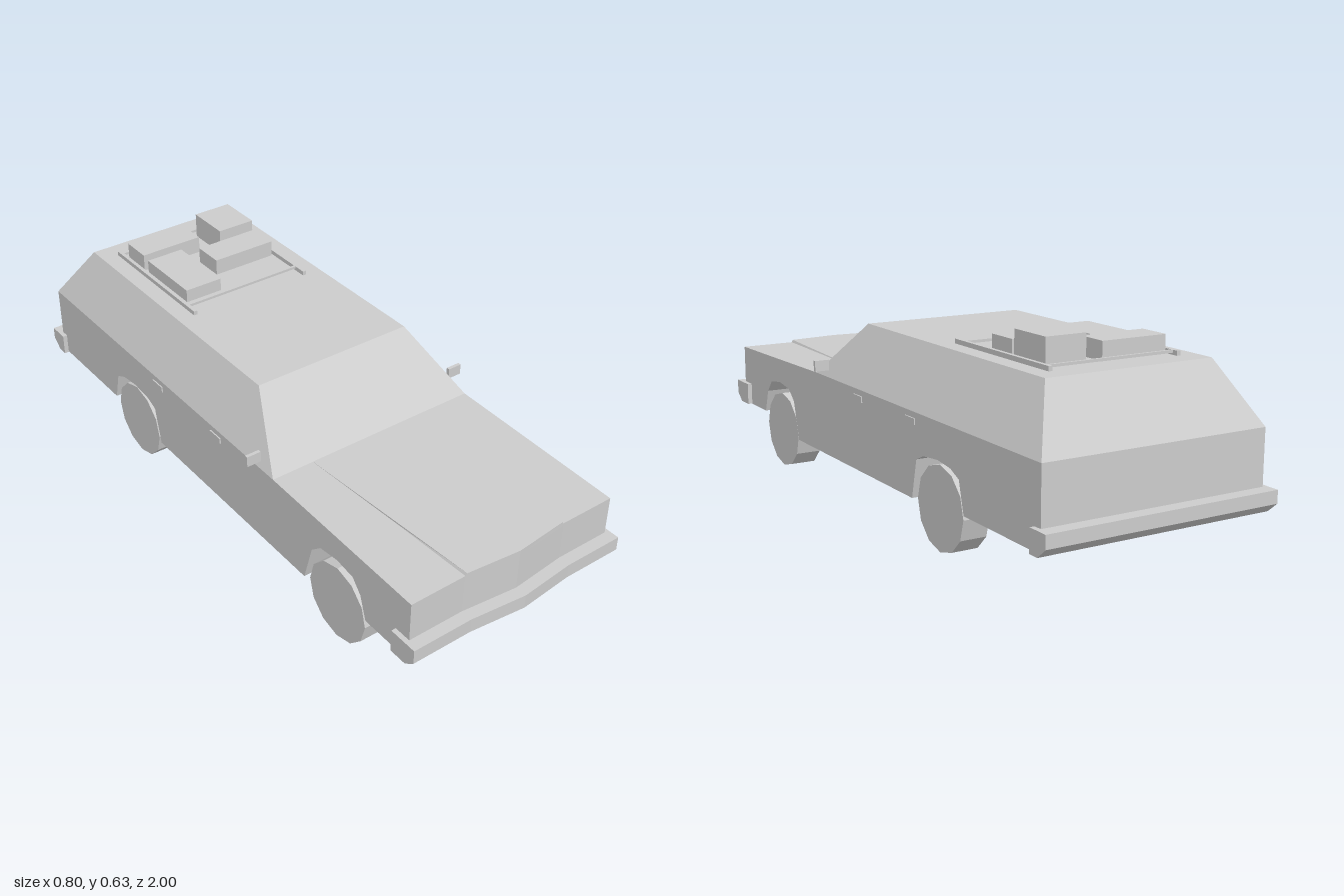
import * as THREE from 'three';

const material = new THREE.MeshStandardMaterial({ color: 0xcccccc, flatShading: true });

function add(parent, name, geometry) {
  const mesh = new THREE.Mesh(geometry, material);
  mesh.name = name;
  parent.add(mesh);
  return mesh;
}

// Box given by its min and max on each axis
function box(parent, name, [x0, x1], [y0, y1], [z0, z1]) {
  const geometry = new THREE.BoxGeometry(x1 - x0, y1 - y0, z1 - z0);
  geometry.translate((x0 + x1) / 2, (y0 + y1) / 2, (z0 + z1) / 2);
  return add(parent, name, geometry);
}

// Move every vertex by a rule
function reshape(geometry, rule) {
  const p = geometry.attributes.position;
  const v = new THREE.Vector3();
  for (let i = 0; i < p.count; i++) {
    v.fromBufferAttribute(p, i);
    rule(v);
    p.setXYZ(i, v.x, v.y, v.z);
  }
  geometry.computeVertexNormals();
  return geometry;
}

// Shallow V of the nose, added to the front face
const nose = (x) => 0.018 * Math.max(0, 1 - Math.abs(x) / 0.18);

// Side profile of [z, y] points, extruded across x
function slab(points, x0, x1, steps = 1) {
  const shape = new THREE.Shape(points.map(([z, y]) => new THREE.Vector2(z, y)));
  const geometry = new THREE.ExtrudeGeometry(shape, { depth: x1 - x0, steps, bevelEnabled: false });
  geometry.rotateY(-Math.PI / 2).translate(x1, 0, 0);
  return reshape(geometry, (v) => { if (v.z > 0.93) v.z += nose(v.x); });
}

const frontArch = [[0.48, 0.12], [0.515, 0.245], [0.555, 0.28], [0.63, 0.29], [0.7, 0.28], [0.735, 0.24], [0.76, 0.165]];
const rearArch = [[-0.59, 0.143], [-0.565, 0.238], [-0.52, 0.258], [-0.45, 0.266], [-0.37, 0.258], [-0.33, 0.24], [-0.303, 0.12]];
const upperBody = [[0.94, 0.165], [0.94, 0.363], [0.33, 0.375], [-0.957, 0.375], [-0.957, 0.143]];

export function createModel() {
  const car = new THREE.Group();
  car.name = 'stationWagon';

  // Lower body: a full centre and two flanks with wheel arches
  const ends = (arch) => [arch[0], arch[arch.length - 1]];
  const centre = [...upperBody, ...ends(rearArch), ...ends(frontArch)];
  const flank = [...upperBody, ...rearArch, ...frontArch];
  add(car, 'bodyCentre', slab(centre, -0.21, 0.21, 14));
  add(car, 'leftFlank', slab(flank, 0.21, 0.36));
  add(car, 'rightFlank', slab(flank, -0.36, -0.21));

  // Raised bonnet panel, tapering to the nose
  add(car, 'bonnet', reshape(new THREE.BoxGeometry(2, 1, 1, 2, 1, 1), (v) => {
    const front = v.z > 0;
    const top = v.y > 0;
    v.x *= front ? (top ? 0.173 : 0.182) : 0.22;
    v.y = front ? (top ? 0.371 : 0.355) : (top ? 0.3755 : 0.365);
    v.z = front ? 0.9405 + nose(v.x) : 0.33;
  }));

  // Cabin with sloping sides, windscreen and tailgate
  add(car, 'cabin', reshape(new THREE.BoxGeometry(2, 1, 1), (v) => {
    const top = v.y > 0;
    v.x *= top ? 0.27 : 0.36;
    v.z = v.z > 0 ? (top ? 0.135 : 0.33) : (top ? -0.835 : -0.957);
    v.y = top ? 0.553 : 0.375;
  }));

  // Bumpers with a chamfered lower edge
  const frontBumper = [[0.885, 0.166], [0.945, 0.166], [0.978, 0.193], [0.978, 0.238], [0.885, 0.238]];
  const rearBumper = [[-0.93, 0.14], [-0.93, 0.209], [-1, 0.209], [-1, 0.17], [-0.965, 0.14]];
  add(car, 'frontBumper', slab(frontBumper, -0.375, 0.375, 50));
  add(car, 'rearBumper', slab(rearBumper, -0.375, 0.375));

  // Wheels, mirrors, door handles and roof rails on both sides
  for (const [side, s] of [['left', 1], ['right', -1]]) {
    const span = (a, b) => (s > 0 ? [a, b] : [-b, -a]);
    for (const [end, z] of [['Front', 0.625], ['Rear', -0.452]]) {
      const wheel = new THREE.CylinderGeometry(0.126, 0.126, 0.083, 12);
      wheel.rotateZ(Math.PI / 2);
      add(car, `${side}${end}Wheel`, wheel).position.set(s * 0.312, 0.126, z);
    }
    box(car, `${side}Mirror`, span(0.353, 0.4), [0.395, 0.429], [0.25, 0.261]);
    box(car, `${side}FrontDoorHandle`, span(0.355, 0.364), [0.338, 0.357], [0.005, 0.06]);
    box(car, `${side}RearDoorHandle`, span(0.355, 0.364), [0.338, 0.357], [-0.325, -0.27]);
    box(car, `${side}RoofRail`, span(0.203, 0.215), [0.553, 0.567], [-0.77, -0.298]);
  }

  // Rack bars across the roof
  for (const z of [-0.75, -0.345]) box(car, 'rackBar', [-0.205, 0.205], [0.559, 0.567], [z - 0.004, z + 0.004]);

  // Luggage on the rack
  const luggage = [
    [[-0.195, 0.017], 0.608, [-0.73, -0.63]],
    [[-0.19, -0.063], 0.595, [-0.613, -0.378]],
    [[0.068, 0.197], 0.635, [-0.728, -0.58]],
    [[-0.02, 0.197], 0.605, [-0.57, -0.468]],
  ];
  for (const [x, top, z] of luggage) box(car, 'luggage', x, [0.552, top], z);

  return car;
}
